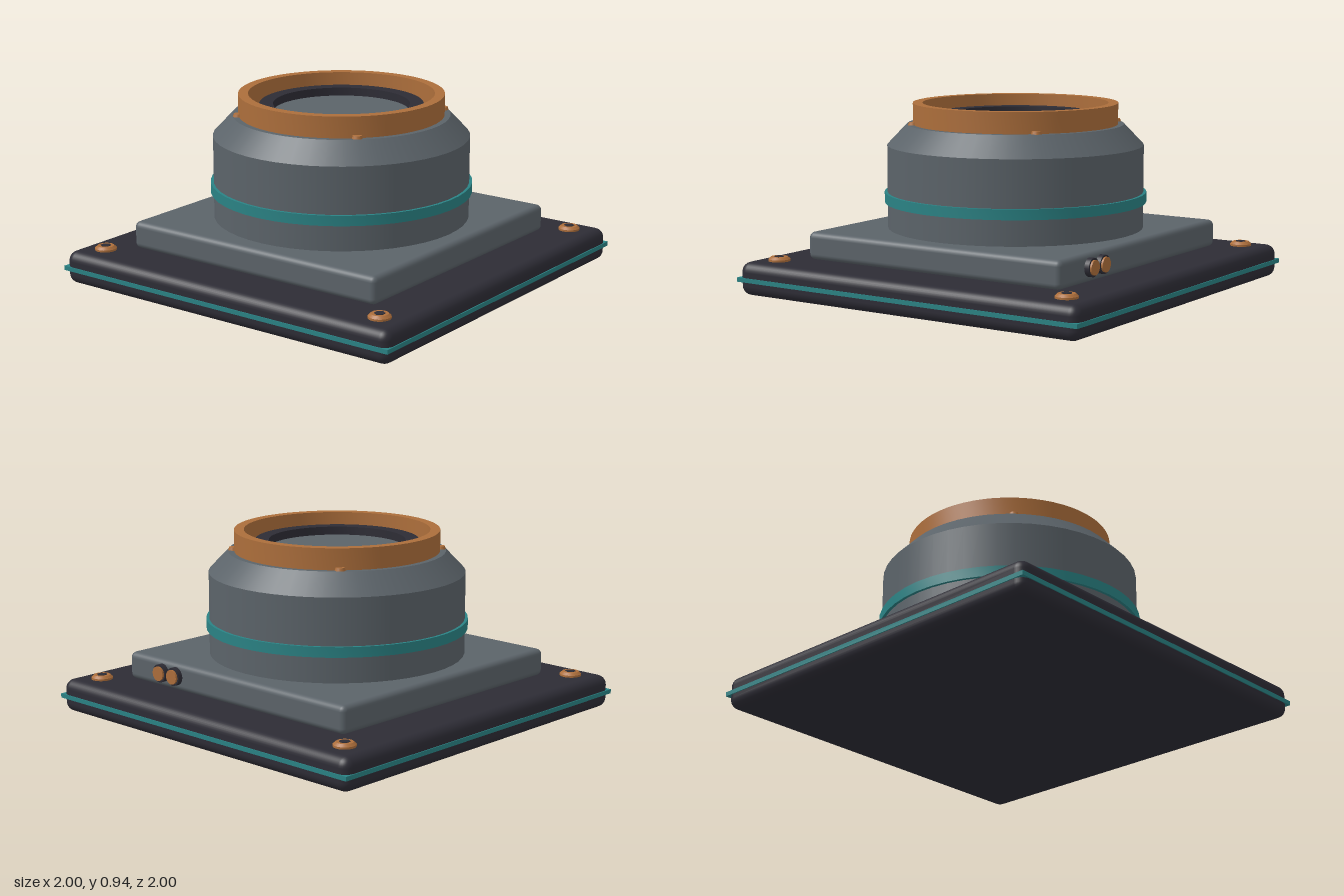
import * as THREE from 'three';
import { RoundedBoxGeometry } from 'three/addons/geometries/RoundedBoxGeometry.js';
import { toCreasedNormals } from 'three/addons/utils/BufferGeometryUtils.js';

export function createModel() {
  const model = new THREE.Group();
  const mat = (name, color) => {
    const m = new THREE.MeshStandardMaterial({ color });
    m.name = name;
    return m;
  };
  const charcoal = mat('charcoal', 0x2d2c35);
  const grey = mat('slate grey', 0x5b6369);
  const teal = mat('teal', 0x2a8284);
  const copper = mat('copper', 0xac6e3b);

  const add = (name, geometry, material, x = 0, y = 0, z = 0, parent = model) => {
    const mesh = new THREE.Mesh(geometry, material);
    mesh.name = name;
    mesh.position.set(x, y, z);
    parent.add(mesh);
    return mesh;
  };
  // Cylinder or cone standing between two heights
  const drum = (name, rTop, rBottom, y0, y1, material, sides = 48, parent = model) =>
    add(name, new THREE.CylinderGeometry(rTop, rBottom, y1 - y0, sides), material, 0, (y0 + y1) / 2, 0, parent);
  // Square-section ring with sharp edges
  const ring = (name, inner, outer, y0, y1, material, sides = 64, parent = model) => {
    const profile = [[inner, y0], [outer, y0], [outer, y1], [inner, y1], [inner, y0]]
      .map(([x, y]) => new THREE.Vector2(x, y));
    return add(name, toCreasedNormals(new THREE.LatheGeometry(profile, sides), 0.8), material, 0, 0, 0, parent);
  };

  // Base plate with a sharp-cornered trim line around it
  add('basePlate', new RoundedBoxGeometry(1.99, 0.168, 1.99, 4, 0.05), charcoal, 0, 0.084, 0);
  add('baseTrim', new THREE.BoxGeometry(2, 0.022, 2), teal, 0, 0.08, 0);

  // Mounting block
  add('mountingBlock', new RoundedBoxGeometry(1.5, 0.14, 1.5, 3, 0.03), grey, 0, 0.24, 0);

  // Round housing with a chamfered shoulder
  drum('housing', 0.65, 0.65, 0.3, 0.73, grey);
  drum('housingShoulder', 0.55, 0.65, 0.73, 0.835, grey);
  ring('housingBand', 0.64, 0.665, 0.44, 0.492, teal, 48);

  // Open collar, inner ring and centre disc
  ring('collar', 0.47, 0.52, 0.83, 0.942, copper);
  ring('innerRing', 0.345, 0.415, 0.83, 0.887, charcoal);
  drum('centreDisc', 0.35, 0.35, 0.83, 0.845, grey, 64);

  // Corner bolts and the small collar pins
  for (const sx of [-1, 1]) for (const sz of [-1, 1]) {
    const bolt = new THREE.Group();
    bolt.name = 'cornerBolt';
    bolt.position.set(sx * 0.85, 0.16, sz * 0.85);
    drum('boltHead', 0.055, 0.055, 0, 0.018, copper, 24, bolt);
    drum('boltBevel', 0.042, 0.055, 0.018, 0.03, copper, 24, bolt);
    drum('boltSocket', 0.027, 0.027, 0.02, 0.032, charcoal, 6, bolt);
    model.add(bolt);

    add('collarPin', new THREE.CylinderGeometry(0.022, 0.028, 0.02, 16), copper, sx * 0.37, 0.84, sz * 0.37);
  }

  // Pair of connectors on the back of the block
  for (const x of [0.395, 0.495]) {
    const connector = new THREE.Group();
    connector.name = 'connector';
    connector.position.set(x, 0.245, -0.74);
    connector.rotation.x = -Math.PI / 2;
    drum('connectorBody', 0.046, 0.046, 0, 0.035, charcoal, 24, connector);
    drum('connectorFace', 0.037, 0.037, 0.035, 0.045, copper, 24, connector);
    model.add(connector);
  }
  return model;
}
